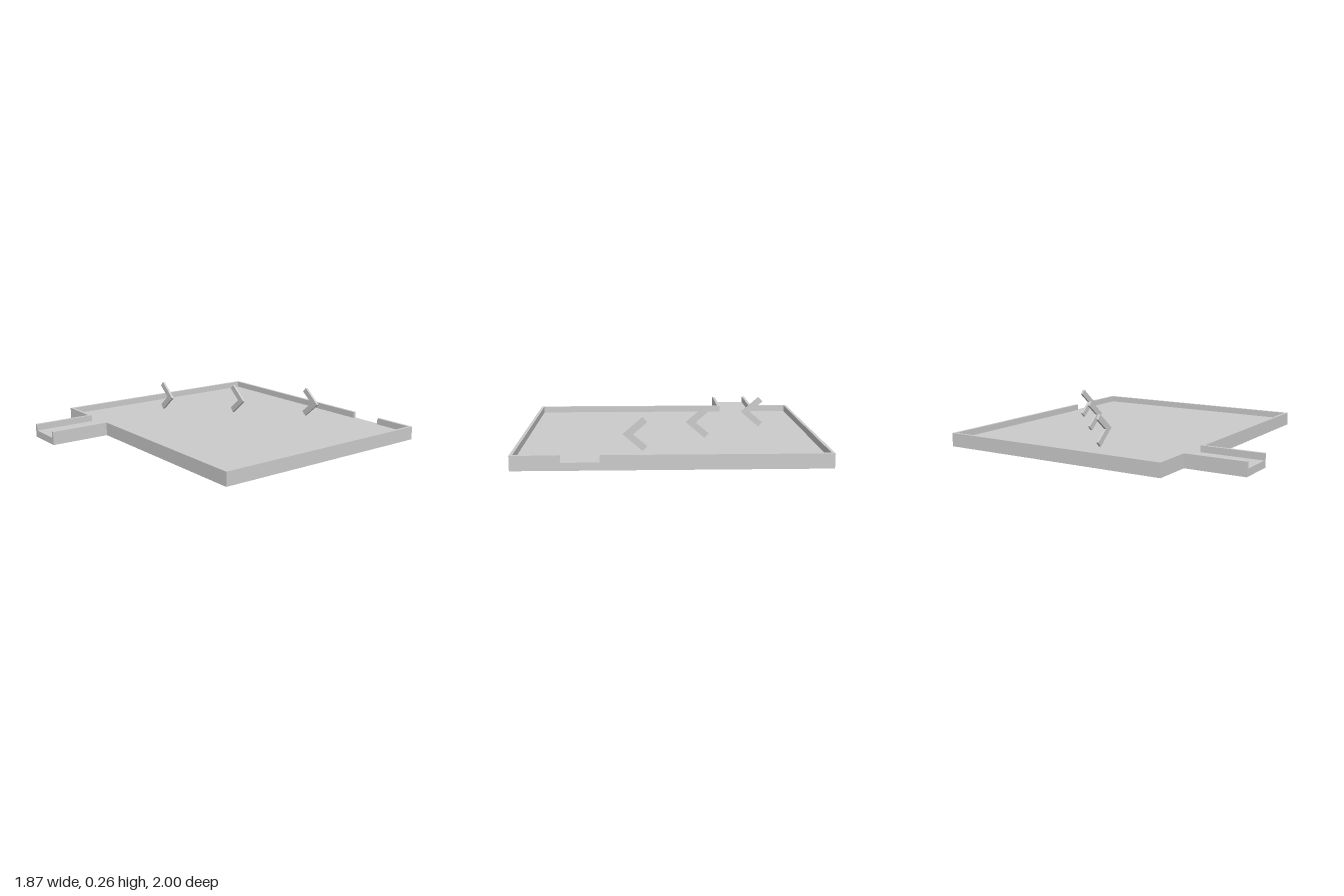
import * as THREE from 'three';

const FLOOR = 0.047, TOP = 0.09;   // floor and rim heights
const material = new THREE.MeshStandardMaterial({ color: 0xcccccc, flatShading: true });

function extrude(points, depth) {
  const shape = new THREE.Shape(points.map(([x, y]) => new THREE.Vector2(x, y)));
  return new THREE.ExtrudeGeometry(shape, { depth, bevelEnabled: false });
}

// Upright slab from a plan outline of [x, z] points
function slab(name, plan, y0, y1) {
  const geometry = extrude(plan.map(([x, z]) => [x, -z]), y1 - y0);
  geometry.rotateX(-Math.PI / 2).translate(0, y0, 0);
  const mesh = new THREE.Mesh(geometry, material);
  mesh.name = name;
  return mesh;
}

export function createModel() {
  const group = new THREE.Group();
  group.name = 'walledTray';

  const X = 0.933, XI = 0.914;          // outer and inner half width
  const ZB = -1, ZBI = -0.98;           // back wall
  const ZF = 0.597, ZFI = 0.577;        // front wall
  const C0 = -0.665, C0I = -0.645;      // channel, one side
  const C1 = -0.403, C1I = -0.422;      // channel, other side
  const G0 = 0.418, G1 = 0.643;         // gap in the back wall

  // Floor with the entrance channel
  group.add(slab('floor', [
    [-X, ZB], [-X, ZF], [C0, ZF], [C0, 1], [C1, 1], [C1, ZF], [X, ZF], [X, ZB],
  ], 0, FLOOR));

  // Rim walls, running from the channel mouth to the back gap on each side
  group.add(slab('rightWall', [
    [G0, ZB], [-X, ZB], [-X, ZF], [C0, ZF], [C0, 1],
    [C0I, 1], [C0I, ZFI], [-XI, ZFI], [-XI, ZBI], [G0, ZBI],
  ], FLOOR, TOP));
  group.add(slab('leftWall', [
    [G1, ZB], [X, ZB], [X, ZF], [C1, ZF], [C1, 1],
    [C1I, 1], [C1I, ZFI], [XI, ZFI], [XI, ZBI], [G1, ZBI],
  ], FLOOR, TOP));

  // Row of upright arrow markers
  const thickness = 0.016;
  const chevron = extrude([
    [0.147, 0], [0.027, 0.103], [0, 0.073], [0.086, 0], [0, -0.073], [0.027, -0.103],
  ], thickness);
  chevron.translate(0, 0, -thickness / 2);
  for (let i = 0; i < 3; i++) {
    const marker = new THREE.Mesh(chevron, material);
    marker.name = `arrowMarker${i + 1}`;
    marker.position.set(-0.655 + 0.4 * i, 0.155, -0.03 - 0.355 * i);
    group.add(marker);
  }
  return group;
}
